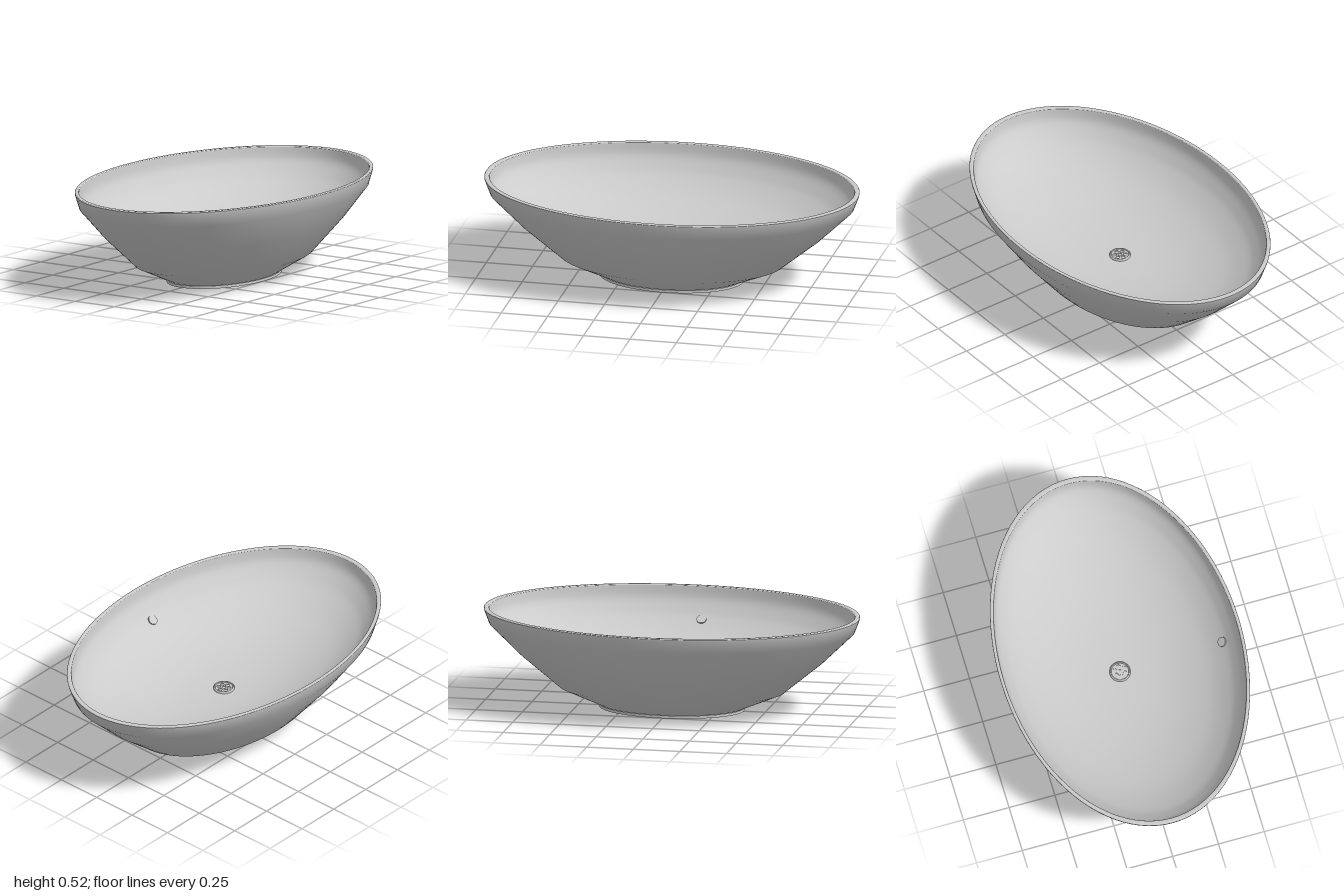
import * as THREE from 'three';

const ASPECT = 0.65; // depth of the oval relative to its width
const material = new THREE.MeshStandardMaterial({ color: 0xcccccc });

function mesh(name, geometry, parent) {
  const m = new THREE.Mesh(geometry, material);
  m.name = name;
  parent.add(m);
  return m;
}

// Turned surface squashed to an oval; profile holds [radius, height] pairs
function oval(name, profile, parent, aspect = ASPECT, segments = 96) {
  const points = profile.map(([r, y]) => new THREE.Vector2(r, y));
  return mesh(name, new THREE.LatheGeometry(points, segments).scale(1, 1, aspect), parent);
}

export function createModel() {
  const basin = new THREE.Group();
  basin.name = 'basin';

  // Foot: flat underside and short vertical edge
  oval('footUnderside', [[0, 0], [0.385, 0]], basin);
  oval('footEdge', [[0.385, 0], [0.385, 0.015]], basin);

  // Outer shell, flaring up to a steep lip
  oval('outerShell', [[0.38, 0.015], [0.6, 0.107], [0.81, 0.28], [0.972, 0.437], [0.998, 0.505], [1, 0.515]], basin);

  // Narrow rounded rim
  oval('rim', [[1, 0.515], [0.997, 0.52], [0.976, 0.52], [0.972, 0.515]], basin);

  // Inner bowl: steep below the rim, then a gentle slope to the drain
  const inner = new THREE.SplineCurve([
    [0.972, 0.515], [0.955, 0.455], [0.905, 0.402], [0.84, 0.355], [0.7, 0.29],
    [0.5, 0.236], [0.3, 0.206], [0.1, 0.195], [0, 0.195],
  ].map(([r, y]) => new THREE.Vector2(r, y)));
  oval('innerBowl', inner.getPoints(32).map((p) => [Math.max(p.x, 0), p.y]), basin);

  // Drain: round collar with a perforated strainer
  const drain = new THREE.Group();
  drain.name = 'drain';
  drain.position.y = 0.195;
  basin.add(drain);
  oval('drainCollar', [[0.056, -0.004], [0.055, 0.006], [0.051, 0.01], [0.047, 0.009], [0.044, 0]], drain, 1, 40);

  const plate = new THREE.Shape().absarc(0, 0, 0.046, 0, Math.PI * 2, false);
  for (let i = 0; i < 7; i++) {
    const r = i === 0 ? 0 : 0.028;
    const a = (i * Math.PI) / 3;
    plate.holes.push(new THREE.Path().absarc(r * Math.cos(a), r * Math.sin(a), 0.0105, 0, Math.PI * 2, true));
  }
  const strainer = new THREE.ExtrudeGeometry(plate, { depth: 0.004, bevelEnabled: false, curveSegments: 16 });
  mesh('drainStrainer', strainer.rotateX(-Math.PI / 2), drain).position.y = 0.001;

  // Overflow cap lying on the slope of the front inner wall
  const cap = mesh('overflowCap', new THREE.CylinderGeometry(0.026, 0.026, 0.012, 24), basin);
  cap.position.set(-0.045, 0.357, 0.545);
  cap.rotation.x = -0.71;

  return basin;
}
